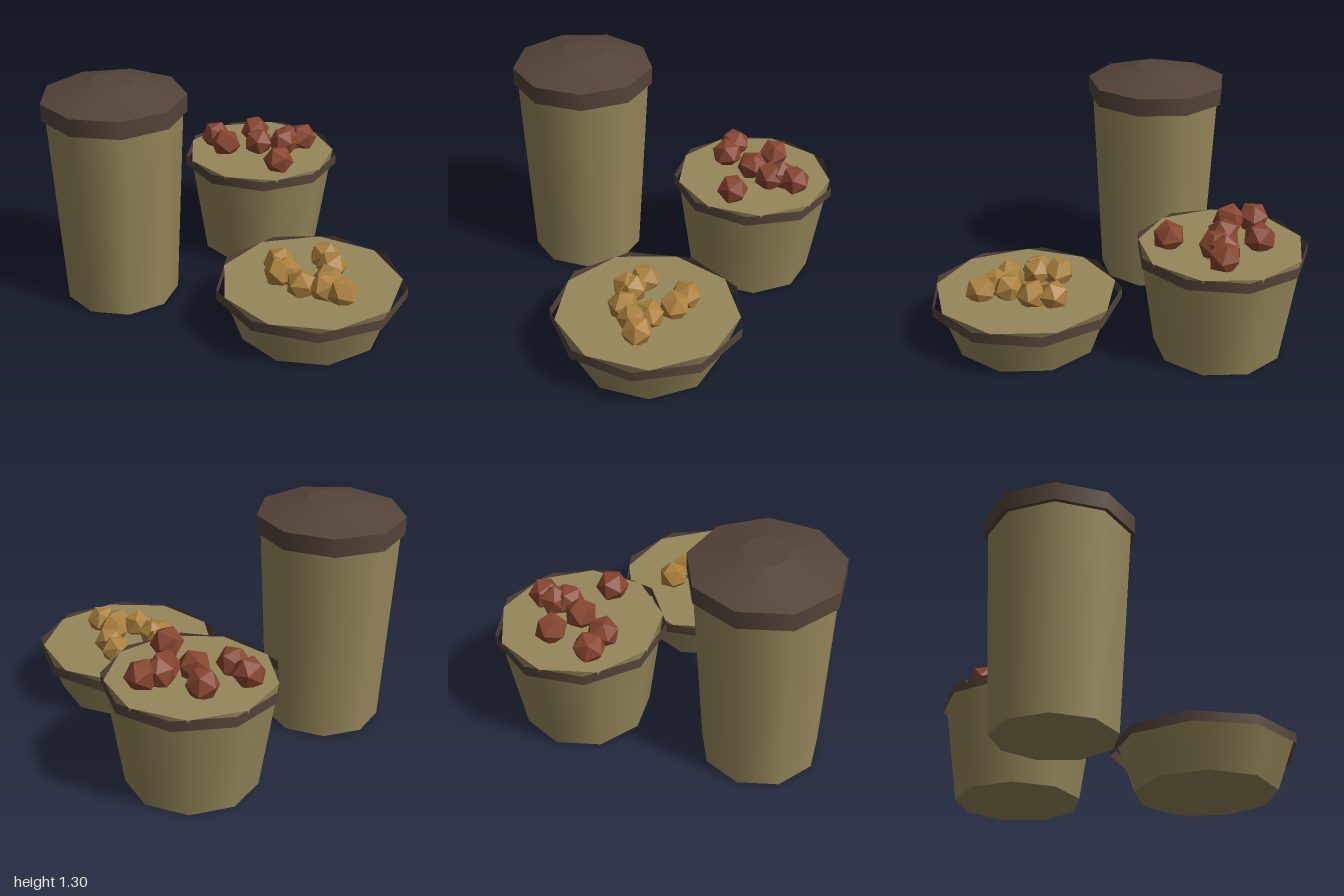
import * as THREE from 'three';

const SIDES = 9;

function material(name, color, side = THREE.FrontSide) {
  const m = new THREE.MeshStandardMaterial({ color, side });
  m.name = name;
  return m;
}

function add(parent, name, geometry, mat, x = 0, y = 0, z = 0) {
  const mesh = new THREE.Mesh(geometry, mat);
  mesh.name = name;
  mesh.position.set(x, y, z);
  parent.add(mesh);
  return mesh;
}

// Nine-sided tapered drum standing between two heights, one corner to the back
function drum(rBottom, rTop, y0, y1, open = false) {
  const g = new THREE.CylinderGeometry(rTop, rBottom, y1 - y0, SIDES, 1, open);
  return g.rotateY(Math.PI).translate(0, (y0 + y1) / 2, 0);
}

// Thin upright hoop, one corner to the model's left
function hoop(r, y0, y1) {
  const g = new THREE.CylinderGeometry(r, r, y1 - y0, SIDES, 1, true);
  return g.rotateY(Math.PI / 2).translate(0, (y0 + y1) / 2, 0);
}

export function createModel() {
  const model = new THREE.Group();
  model.name = 'storageBaskets';

  const straw = material('straw', 0x96885a);
  const wood = material('darkWood', 0x544439, THREE.DoubleSide);
  const red = material('redFruit', 0x87452f);
  const ochre = material('ochreFruit', 0xab813e);

  // Tall basket with a lid
  const tall = new THREE.Group();
  tall.name = 'tallBasket';
  tall.position.set(-0.545, 0, -0.44);
  model.add(tall);
  add(tall, 'tallBody', drum(0.325, 0.383, 0, 1.15), straw);
  add(tall, 'lidSkirt', drum(0.405, 0.405, 1.12, 1.22), wood);
  add(tall, 'lidTop', drum(0.405, 0.125, 1.22, 1.3), wood);

  // Open baskets, each with a hoop and a heap of fruit at [x, z, turn]
  const baskets = [
    {
      name: 'deepBasket', x: 0.475, z: -0.54, rBottom: 0.355, rTop: 0.447, height: 0.61,
      rHoop: 0.465, fruit: red, fruitY: 0.66, size: 0.092,
      spots: [
        [0.295, -0.775, 0.3], [0.285, -0.64, 1.2], [0.55, -0.725, 2.1], [0.465, -0.55, 0.7],
        [0.59, -0.465, 1.7], [0.65, -0.5, 2.6], [0.735, -0.47, 0.1], [0.425, -0.26, 1.5],
      ],
    },
    {
      name: 'shallowBasket', x: 0.167, z: 0.478, rBottom: 0.405, rTop: 0.507, height: 0.288,
      rHoop: 0.531, fruit: ochre, fruitY: 0.33, size: 0.09,
      spots: [
        [0.085, 0.28, 0.2], [0.02, 0.385, 1.1], [0.05, 0.395, 2.4], [0.345, 0.355, 0.6],
        [0.315, 0.465, 1.9], [0.055, 0.55, 2.8], [0.21, 0.58, 0.9], [0.14, 0.64, 1.4],
        [0.195, 0.73, 2.2],
      ],
    },
  ];

  for (const b of baskets) {
    const group = new THREE.Group();
    group.name = b.name;
    group.position.set(b.x, 0, b.z);
    model.add(group);
    add(group, 'basketBody', drum(b.rBottom, b.rTop, 0, b.height), straw);
    add(group, 'rimHoop', hoop(b.rHoop, b.height - 0.058, b.height), wood);

    // Faceted fruit, sunk a little into the fill
    const lump = new THREE.IcosahedronGeometry(b.size, 0);
    for (const [x, z, turn] of b.spots) {
      const fruit = add(group, 'fruit', lump, b.fruit, x - b.x, b.fruitY, z - b.z);
      fruit.rotation.set(turn * 0.7, turn, turn * 0.4);
    }
  }
  return model;
}
